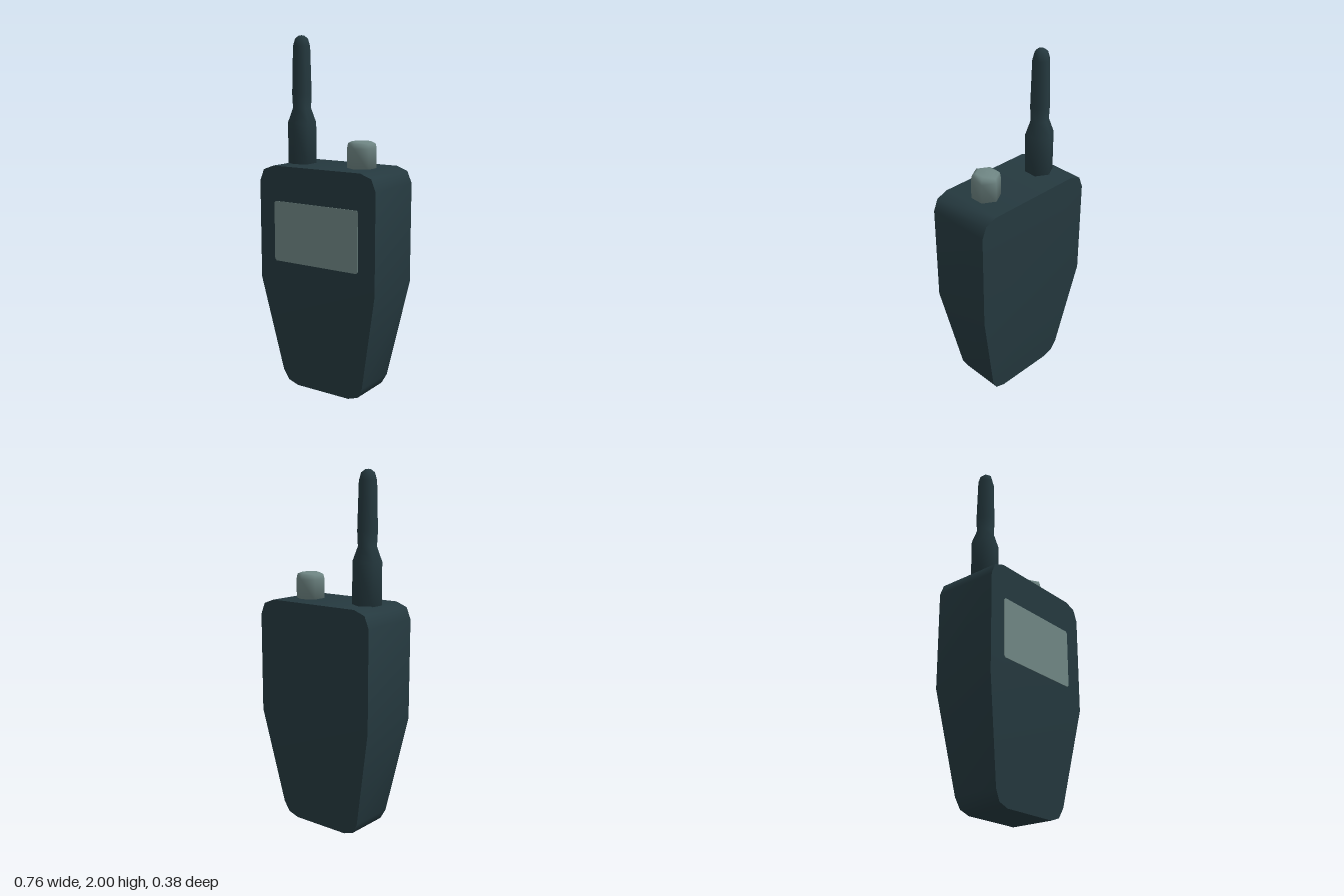
import * as THREE from 'three';
import { toCreasedNormals } from 'three/addons/utils/BufferGeometryUtils.js';

const dark = new THREE.MeshStandardMaterial({ color: 0x25393f });
dark.name = 'dark casing';
const pale = new THREE.MeshStandardMaterial({ color: 0x6f8684 });
pale.name = 'pale grey';

// Stack of rectangular sections [y, half width, half depth], closed at both ends
function rectLoft(rows) {
  const pos = [], idx = [];
  for (const [y, w, d] of rows) pos.push(-w, y, d, w, y, d, w, y, -d, -w, y, -d);
  for (let r = 0; r < rows.length - 1; r++) {
    for (let i = 0; i < 4; i++) {
      const a = r * 4 + i, b = r * 4 + (i + 1) % 4;
      idx.push(a, b, b + 4, a, b + 4, a + 4);
    }
  }
  const t = (rows.length - 1) * 4;
  idx.push(0, 2, 1, 0, 3, 2, t, t + 1, t + 2, t, t + 2, t + 3);
  const g = new THREE.BufferGeometry();
  g.setAttribute('position', new THREE.Float32BufferAttribute(pos, 3));
  g.setIndex(idx);
  return toCreasedNormals(g, Math.PI / 3);
}

// Six-sided turned part from [radius, y] points, bottom to top
function hexLathe(points) {
  return new THREE.LatheGeometry(points.map(([r, y]) => new THREE.Vector2(r, y)), 6);
}

export function createModel() {
  const group = new THREE.Group();
  const add = (name, geometry, material, x = 0, y = 0, z = 0) => {
    const mesh = new THREE.Mesh(geometry, material);
    mesh.name = name;
    mesh.position.set(x, y, z);
    group.add(mesh);
  };

  // Casing: straight upper half, tapering towards the foot
  add('casing', rectLoft([
    [0, 0.175, 0.128], [0.022, 0.238, 0.13], [0.08, 0.27, 0.136], [0.64, 0.38, 0.19],
    [1.2, 0.38, 0.19], [1.265, 0.353, 0.19], [1.29, 0.285, 0.19],
  ]), dark);

  // Aerial: thick base, narrow neck, rounded tip
  add('aerial', hexLathe([
    [0, 1.28], [0.08, 1.28], [0.08, 1.52], [0.051, 1.6], [0.055, 1.68],
    [0.048, 1.94], [0.036, 1.982], [0.015, 1.998], [0, 2],
  ]), dark, -0.225);

  // Control knob with a bevelled top
  add('knob', hexLathe([
    [0, 1.28], [0.08, 1.28], [0.08, 1.4], [0.074, 1.425], [0.054, 1.435], [0, 1.437],
  ]), pale, 0.175);

  // Display plate with slightly clipped corners
  const w = 0.277, h = 0.171, c = 0.01;
  const plate = new THREE.Shape([
    [-w + c, -h], [w - c, -h], [w, -h + c], [w, h - c],
    [w - c, h], [-w + c, h], [-w, h - c], [-w, -h + c],
  ].map(([x, y]) => new THREE.Vector2(x, y)));
  add('display', new THREE.ExtrudeGeometry(plate, { depth: 0.005, bevelEnabled: false }),
    pale, -0.002, 0.922, 0.188);

  return group;
}
